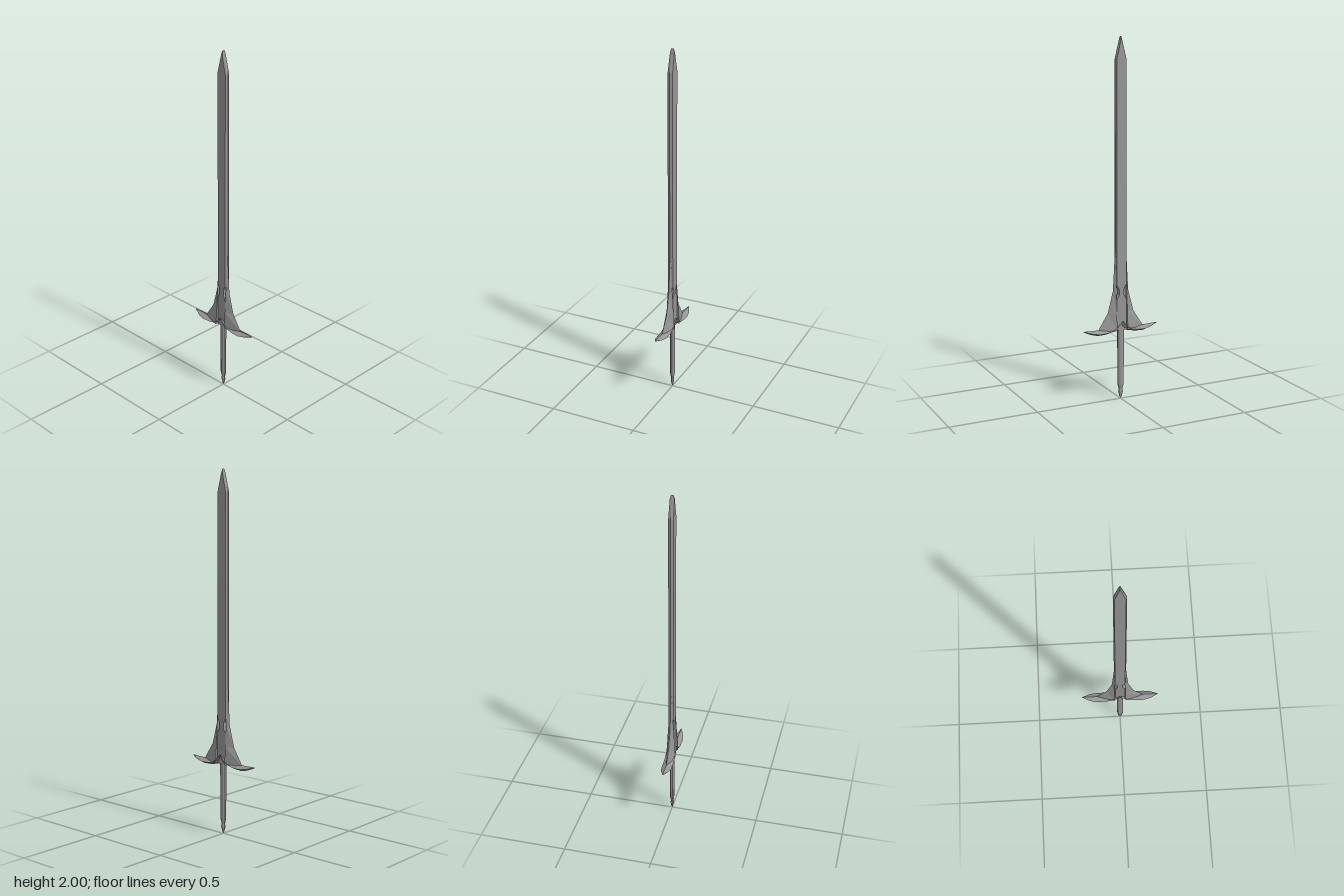
import * as THREE from 'three';

const material = new THREE.MeshStandardMaterial({ color: 0x969696, flatShading: true, side: THREE.DoubleSide });

// Skin a series of equal-sized rings of [x, y, z] points and close both ends
function loft(rings) {
  const out = [];
  const n = rings[0].length;
  const tri = (a, b, c) => out.push(...a, ...b, ...c);
  for (let k = 0; k < rings.length - 1; k++) {
    const lo = rings[k], hi = rings[k + 1];
    for (let i = 0; i < n; i++) {
      const j = (i + 1) % n;
      tri(lo[i], hi[i], hi[j]);
      tri(lo[i], hi[j], lo[j]);
    }
  }
  const first = rings[0], last = rings[rings.length - 1];
  for (let i = 1; i < n - 1; i++) {
    tri(first[0], first[i], first[i + 1]);
    tri(last[0], last[i + 1], last[i]);
  }
  const geometry = new THREE.BufferGeometry();
  geometry.setAttribute('position', new THREE.Float32BufferAttribute(out, 3));
  geometry.computeVertexNormals();
  return geometry;
}

export function createModel() {
  const group = new THREE.Group();
  group.name = 'sword';
  const add = (name, geometry) => {
    const mesh = new THREE.Mesh(geometry, material);
    mesh.name = name;
    group.add(mesh);
  };

  // Blade: bevelled hexagonal section [y, half width, flat half width, half depth],
  // notched on both sides above the guard and ending in a wedge tip
  const blade = [
    [0.40, 0.034, 0.028, 0.015], [0.575, 0.034, 0.028, 0.015],
    [0.6, 0.018, 0.014, 0.015], [0.63, 0.018, 0.014, 0.015],
    [0.655, 0.034, 0.028, 0.015], [1.88, 0.034, 0.028, 0.014],
    [1.98, 0.006, 0.004, 0.012], [2.0, 0.0005, 0.0003, 0.007],
  ];
  add('blade', loft(blade.map(([y, w, f, d]) => [
    [w, y, 0], [f, y, d], [-f, y, d], [-w, y, 0], [-f, y, -d], [f, y, -d],
  ])));

  // Flared wings beside the blade: [y, outer x, inner half depth]
  const wing = [
    [0.40, 0.142, 0.027], [0.5, 0.078, 0.021],
    [0.62, 0.047, 0.014], [0.72, 0.041, 0.008], [0.85, 0.034, 0.001],
  ];
  for (const side of [1, -1]) {
    add(side > 0 ? 'leftWing' : 'rightWing', loft(wing.map(([y, x, d]) => {
      const ring = [[side * x, y, 0], [side * 0.032, y, d], [side * 0.032, y, -d]];
      return side > 0 ? ring : ring.reverse();
    })));
  }

  // Crescent guard with a raised chevron: [x, ridge y, rim y, underside y, half depth]
  const half = [
    [0, 0.43, 0.453, 0.4, 0.028], [0.03, 0.416, 0.42, 0.394, 0.028],
    [0.055, 0.41, 0.402, 0.388, 0.028], [0.09, 0.41, 0.395, 0.381, 0.028],
    [0.138, 0.411, 0.393, 0.379, 0.028], [0.178, 0.412, 0.4, 0.39, 0.021],
    [0.224, 0.414, 0.412, 0.41, 0.0005],
  ];
  const mirrored = half.slice(1).reverse().map(([x, ...rest]) => [-x, ...rest]);
  add('guard', loft([...mirrored, ...half].map(([x, top, rim, low, d]) => [
    [x, top, 0], [x, rim, -d], [x, low, 0], [x, rim, d],
  ])));

  // Eight-sided grip, flattened front to back, with a pointed pommel
  const lathe = (name, points) => {
    const geometry = new THREE.LatheGeometry(points.map(([r, y]) => new THREE.Vector2(r, y)), 8, Math.PI / 8);
    geometry.scale(1.08, 1, 0.72);
    add(name, geometry);
  };
  lathe('grip', [[0, 0.075], [0.017, 0.085], [0.0185, 0.41], [0, 0.41]]);
  lathe('pommel', [[0, 0], [0.007, 0.015], [0.013, 0.042], [0.01, 0.055], [0.017, 0.085], [0, 0.085]]);

  return group;
}
